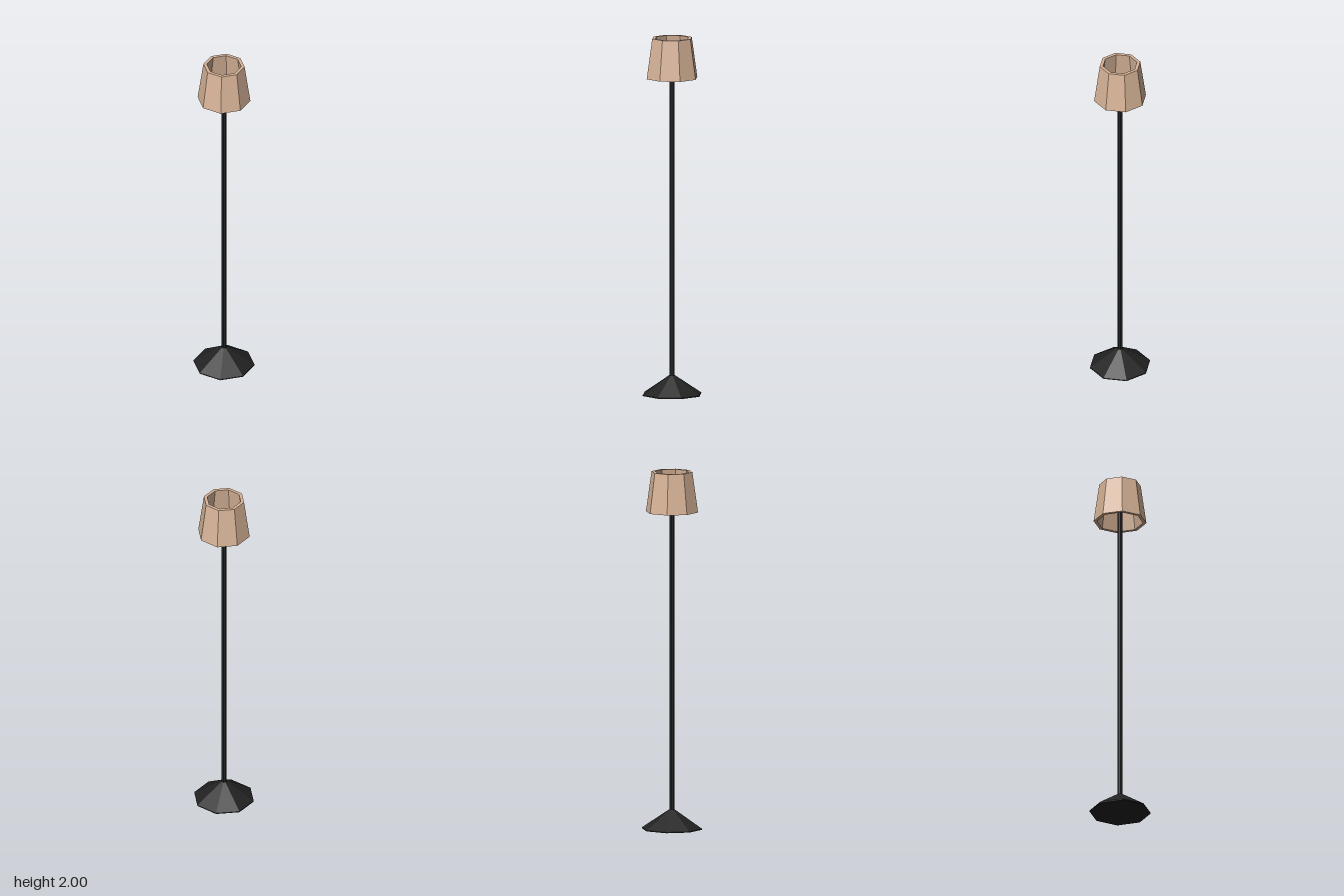
import * as THREE from 'three';

const SIDES = 8;

export function createModel() {
  const lamp = new THREE.Group();
  lamp.name = 'floorLamp';

  const paint = (color) => new THREE.MeshStandardMaterial({ color, flatShading: true });
  const dark = paint(0x222222);
  const fabric = paint(0xd8b498);
  const glow = paint(0xbdb53a);

  const add = (name, geometry, material, y = 0) => {
    const mesh = new THREE.Mesh(geometry, material);
    mesh.name = name;
    mesh.position.y = y;
    lamp.add(mesh);
  };
  // Octagonal solid turned from [radius, height] pairs
  const turned = (profile) =>
    new THREE.LatheGeometry(profile.map(([r, y]) => new THREE.Vector2(r, y)), SIDES);

  // Low conical foot with a thin rim
  add('base', turned([[0, 0], [0.17, 0], [0.17, 0.005], [0.015, 0.11], [0, 0.11]]), dark);

  // Slim pole reaching up inside the shade
  const poleBottom = 0.1, poleTop = 1.87;
  add('pole', new THREE.CylinderGeometry(0.015, 0.015, poleTop - poleBottom, SIDES),
    dark, (poleBottom + poleTop) / 2);

  // Faceted bulb on the pole's end
  add('bulb', new THREE.SphereGeometry(0.032, SIDES, 6), glow, 1.885);

  // Hollow tapered shade, open at both ends
  add('shade', turned([
    [0.147, 1.775], [0.115, 2], [0.096, 2], [0.128, 1.775], [0.147, 1.775],
  ]), fabric);

  return lamp;
}
